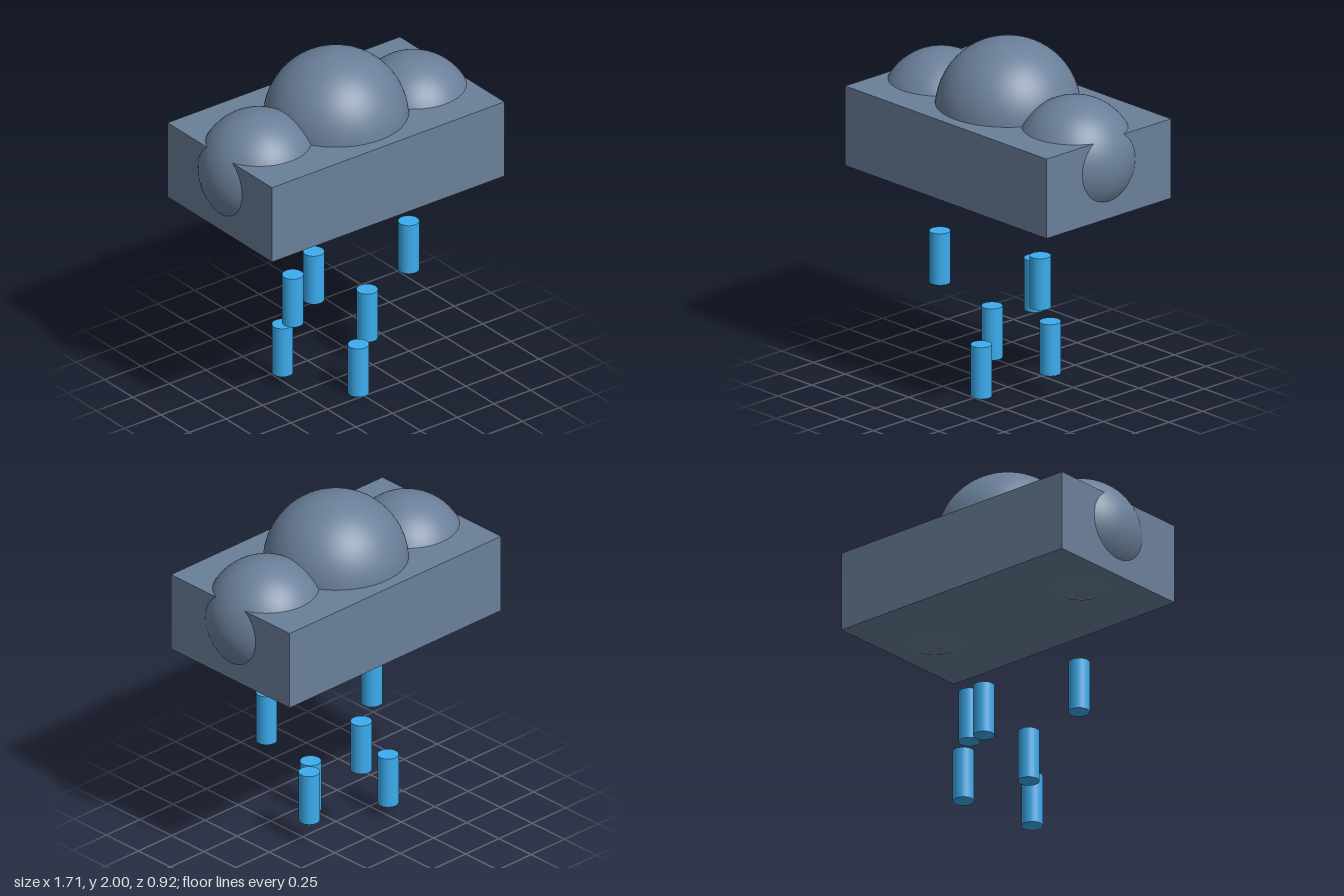
import * as THREE from 'three';

export function createModel() {
  const model = new THREE.Group();
  model.name = 'rainCloud';
  const cloudMat = new THREE.MeshStandardMaterial({ color: 0x6a7f99 });
  const rainMat = new THREE.MeshStandardMaterial({ color: 0x3cacee });

  const add = (name, geometry, material, x, y, z) => {
    const mesh = new THREE.Mesh(geometry, material);
    mesh.name = name;
    mesh.position.set(x, y, z);
    model.add(mesh);
  };

  // Cloud: a block with three puffs sunk into it
  add('cloudBase', new THREE.BoxGeometry(1.584, 0.457, 0.924), cloudMat, 0, 1.408, 0);
  add('centrePuff', new THREE.SphereGeometry(0.395, 64, 40), cloudMat, 0, 1.605, 0);
  const sidePuff = new THREE.SphereGeometry(0.33, 64, 40);
  add('leftPuff', sidePuff, cloudMat, 0.527, 1.475, 0);
  add('rightPuff', sidePuff, cloudMat, -0.527, 1.475, 0);

  // Falling drops: x, bottom y, z
  const height = 0.296;
  const drop = new THREE.CylinderGeometry(0.058, 0.058, height, 32);
  [
    [-0.396, 0.533, 0.132],
    [0, 0.4, -0.197],
    [0.394, 0.599, 0.132],
    [-0.264, 0.07, -0.131],
    [0.263, 0.136, -0.065],
    [0, 0, 0.198],
  ].forEach(([x, y, z], i) => add(`raindrop${i + 1}`, drop, rainMat, x, y + height / 2, z));

  return model;
}
